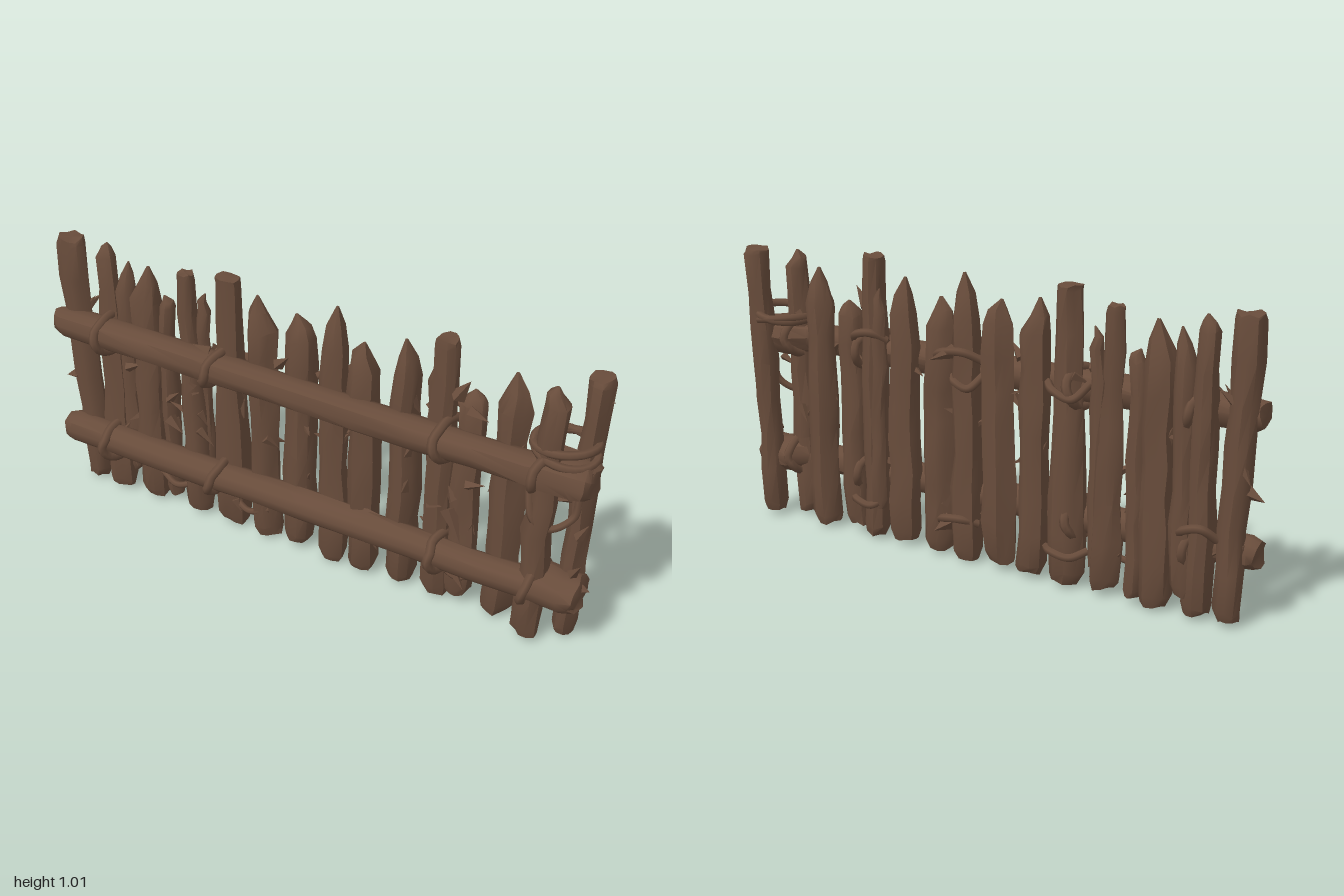
import * as THREE from 'three';
import { toCreasedNormals } from 'three/addons/utils/BufferGeometryUtils.js';

const wood = new THREE.MeshStandardMaterial({ color: 0x684c3b });
wood.name = 'weathered brown wood';

let seed = 11;
const rand = () => {
  seed = (seed * 16807) % 2147483647;
  return seed / 2147483647;
};
const jitter = (a) => (rand() * 2 - 1) * a;

// Rough upright log lofted through rings of [y, centreX, centreZ, radiusX, radiusZ]
function logGeometry(rings, sides, rough) {
  const pos = [], idx = [];
  const ridge = Array.from({ length: sides }, () => 1 + jitter(rough));
  for (const [y, cx, cz, rx, rz] of rings) {
    for (let j = 0; j < sides; j++) {
      const a = (j / sides) * Math.PI * 2;
      const k = ridge[j] * (1 + jitter(rough * 0.6));
      pos.push(cx + Math.cos(a) * rx * k, y + jitter(rx * 0.18), cz + Math.sin(a) * rz * k);
    }
  }
  for (let i = 0; i < rings.length - 1; i++) {
    for (let j = 0; j < sides; j++) {
      const a = i * sides + j, c = i * sides + ((j + 1) % sides);
      idx.push(a, a + sides, c, c, a + sides, c + sides);
    }
  }
  const top = (rings.length - 1) * sides, centre = rings.length * sides;
  const first = rings[0], last = rings[rings.length - 1];
  pos.push(first[1], first[0], first[2], last[1], last[0], last[2]);
  // Cap centres are stored as x, y, z
  [pos[centre * 3], pos[centre * 3 + 1]] = [first[1], first[0]];
  [pos[centre * 3 + 3], pos[centre * 3 + 4]] = [last[1], last[0]];
  for (let j = 0; j < sides; j++) {
    const n = (j + 1) % sides;
    idx.push(centre, j, n, centre + 1, top + n, top + j);
  }
  const geo = new THREE.BufferGeometry();
  geo.setAttribute('position', new THREE.Float32BufferAttribute(pos, 3));
  geo.setIndex(idx);
  return geo;
}

function add(parent, name, geo) {
  const mesh = new THREE.Mesh(geo, wood);
  mesh.name = name;
  parent.add(mesh);
  return mesh;
}

// Stake from (x0, y0) to (x1, y1); tip is the length of the whittled point, 0 for a sawn end
function stake(parent, name, x0, x1, y0, y1, w, tip, z0 = -0.01, z1 = z0, taper = 0.88) {
  const rings = [], r = w * 0.55, d = Math.min(r, 0.053);
  const at = (y, k, dx = 0) => {
    const t = (y - y0) / (y1 - y0);
    const s = k * (1 - (1 - taper) * t);
    rings.push([y, x0 + (x1 - x0) * t + dx, z0 + (z1 - z0) * t, r * s, d * s]);
  };
  at(y0, 0.74, jitter(0.01));
  at(y0 + 0.03, 0.96);
  const body = y1 - (tip || 0.02);
  for (let i = 1; i <= 7; i++) at(y0 + 0.03 + (body - y0 - 0.03) * i / 7, 1 + jitter(0.08), jitter(0.007));
  if (tip) {
    at(y1 - tip * 0.45, 0.64, jitter(0.01));
    at(y1, 0.1, jitter(0.012));
  } else at(y1, 0.92);
  return add(parent, name, toCreasedNormals(logGeometry(rings, 10, 0.13), 0.75));
}

// Smooth cord through points
function cord(parent, name, pts, r, closed = false) {
  const curve = new THREE.CatmullRomCurve3(pts.map((p) => new THREE.Vector3(...p)), closed);
  return add(parent, name, new THREE.TubeGeometry(curve, 28, r, 6, closed));
}

// Pointed chip of bark
function splinter(parent, x, y, z, len, dx, dy, dz, r = 0.016) {
  const geo = toCreasedNormals(new THREE.ConeGeometry(r, len, 4), 0.5);
  const mesh = add(parent, 'splinter', geo);
  const dir = new THREE.Vector3(dx, dy, dz).normalize();
  mesh.quaternion.setFromUnitVectors(new THREE.Vector3(0, 1, 0), dir);
  mesh.position.set(x, y, z).addScaledVector(dir, len * 0.35);
}

export function createModel() {
  seed = 11;
  const fence = new THREE.Group();
  fence.name = 'fence';

  // Upright stakes: bottom x, top x, bottom y, top y, width, point length, bottom z, top z, taper
  const stakes = [
    [-0.9, -0.93, 0.02, 0.99, 0.082, 0, 0.0, 0.02, 1.05],
    [-0.79, -0.82, 0.02, 0.98, 0.1, 0.05, 0.0, -0.02, 0.6],
    [-0.755, -0.74, 0.08, 0.93, 0.075, 0.12, -0.02],
    [-0.66, -0.65, 0.02, 0.94, 0.108, 0.13],
    [-0.59, -0.585, 0.03, 0.84, 0.065, 0.04, -0.02],
    [-0.465, -0.49, 0.03, 0.96, 0.102, 0, -0.005, -0.005, 0.55],
    [-0.45, -0.44, 0.1, 0.89, 0.055, 0.07, -0.025],
    [-0.33, -0.315, 0.02, 1.0, 0.108, 0, -0.01, 0.01, 0.7],
    [-0.195, -0.21, 0.02, 0.95, 0.1, 0.12],
    [-0.07, -0.06, 0.03, 0.925, 0.105, 0.08],
    [0.07, 0.07, 0.01, 0.995, 0.1, 0.15],
    [0.19, 0.175, 0.02, 0.9, 0.1, 0.1, 0],
    [0.325, 0.32, 0.02, 0.95, 0.098, 0.13],
    [0.455, 0.465, 0.02, 1.005, 0.1, 0, -0.012, 0.0, 0.72],
    [0.43, 0.42, 0.12, 0.9, 0.055, 0.08, -0.03],
    [0.54, 0.555, 0.04, 0.84, 0.085, 0.05, -0.015],
    [0.675, 0.69, 0.02, 0.94, 0.108, 0.13, -0.018],
    [0.805, 0.845, 0.02, 0.975, 0.092, 0.06, 0.035, 0.045, 0.8],
    [0.91, 0.94, 0.02, 0.985, 0.086, 0, -0.035, -0.055, 0.92],
  ];
  stakes.forEach((s) => stake(fence, 'stake', ...s));

  // Two horizontal rails, with a swollen right-hand end
  for (const y of [0.67, 0.23]) {
    const rings = [];
    const xs = [-0.98, -0.95, -0.8, -0.6, -0.4, -0.2, 0, 0.2, 0.4, 0.6, 0.78, 0.84, 0.92, 0.965, 0.98];
    xs.forEach((x, i) => {
      const end = x > 0.82;
      const k = i === 0 ? 0.8 : i === xs.length - 1 ? 0.72 : x > 0.95 ? 0.92 : 1 + jitter(0.05);
      const droop = -0.006 * x + jitter(0.005);
      rings.push([x, -droop, end ? 0.026 : 0.055, (end ? 0.066 : 0.056) * k, (end ? 0.086 : 0.057) * k]);
    });
    const geo = logGeometry(rings, 11, 0.07).rotateZ(-Math.PI / 2);
    add(fence, 'rail', toCreasedNormals(geo, 0.75)).position.y = y;

    // Bindings pulled tight round rail and stake
    for (const x of [-0.78, -0.35, 0.5, 0.82]) {
      const pts = [];
      for (let i = 0; i < 12; i++) {
        const a = (i / 12) * Math.PI * 2;
        pts.push([x + 0.015 * Math.cos(a + x * 5) + jitter(0.006), y + Math.sin(a) * 0.06, 0.035 + Math.cos(a) * 0.09]);
      }
      cord(fence, 'binding', pts, 0.016, true);
    }
  }

  // Loops round the paired end stakes
  for (const [y, tilt] of [[0.755, 0.015], [0.735, -0.02]]) {
    const pts = [];
    for (let i = 0; i < 10; i++) {
      const a = (i / 10) * Math.PI * 2;
      pts.push([0.865 + Math.cos(a) * 0.1, y + Math.sin(a + 1) * tilt, -0.008 + Math.sin(a) * 0.088]);
    }
    cord(fence, 'endLoop', pts, 0.014, true);
  }
  cord(fence, 'hangingCord', [[0.78, 0.6, 0.05], [0.81, 0.5, 0.075], [0.86, 0.46, 0.05], [0.92, 0.5, 0.01], [0.93, 0.58, 0]], 0.013);

  // Cords lying against the backs of the stakes: x, y, half span, sag
  for (const [x, y, s, sag] of [[-0.33, 0.7, 0.08, -0.05], [0.1, 0.71, 0.1, 0.03], [0.06, 0.66, 0.06, -0.04],
    [0.47, 0.72, 0.07, 0.03], [-0.33, 0.14, 0.08, -0.02], [0.1, 0.14, 0.08, 0.02], [-0.8, 0.28, 0.07, 0.04],
    [0.48, 0.16, 0.07, -0.03]]) {
    cord(fence, 'backCord', [[x - s, y, -0.015], [x - s * 0.45, y + sag, -0.058], [x + s * 0.4, y + sag * 0.6, -0.06], [x + s, y - 0.02, -0.015]], 0.014);
  }
  // Low cords between stakes at the front
  for (const [x, y] of [[-0.54, 0.125], [-0.24, 0.12], [0.55, 0.15]]) {
    cord(fence, 'lowCord', [[x - 0.07, y + 0.01, 0.02], [x, y - 0.01, 0.04], [x + 0.07, y + 0.01, 0.02]], 0.011);
  }

  // Large torn slivers: position, length, direction, radius
  [[-0.95, 0.44, 0.02, 0.07, -1, -0.4, 0, 0.028], [0.11, 0.73, -0.05, 0.11, 0.2, -0.1, -1, 0.025],
    [0.96, 0.25, 0.02, 0.05, 1, -0.1, 0, 0.035], [0.13, 0.13, -0.04, 0.07, 0.3, -0.3, -1, 0.032],
    [0.52, 0.38, 0.035, 0.12, 0.5, -0.8, 0.3, 0.03], [0.53, 0.19, 0.04, 0.12, 0.6, -0.8, 0.2, 0.032],
    [0.57, 0.78, 0.02, 0.07, 1, -0.2, 0.2, 0.022], [0.52, 0.83, 0.02, 0.08, 0.5, 0.8, 0, 0.028],
    [-0.38, 0.73, 0.05, 0.06, -1, 0.3, 0.3, 0.02], [-0.56, 0.37, 0.02, 0.07, 0.8, -0.5, 0.2, 0.024],
    [0.95, 0.9, -0.05, 0.05, 1, 0.3, 0, 0.014], [-0.12, 0.74, 0.02, 0.07, 0.7, 0.7, 0.2, 0.022],
  ].forEach((s) => splinter(fence, ...s));

  // Bark slivers clinging to the stakes
  for (const [x0, x1, y0, y1, w] of stakes) {
    for (let i = 0; i < 4; i++) {
      const t = 0.1 + rand() * 0.7, side = rand() < 0.5 ? -1 : 1;
      splinter(fence, x0 + (x1 - x0) * t + side * w * 0.33, y0 + (y1 - y0) * t, 0.01 + jitter(0.03),
        0.05 + rand() * 0.03, side * 0.6, jitter(1.6), jitter(0.5), 0.018);
    }
  }
  return fence;
}
